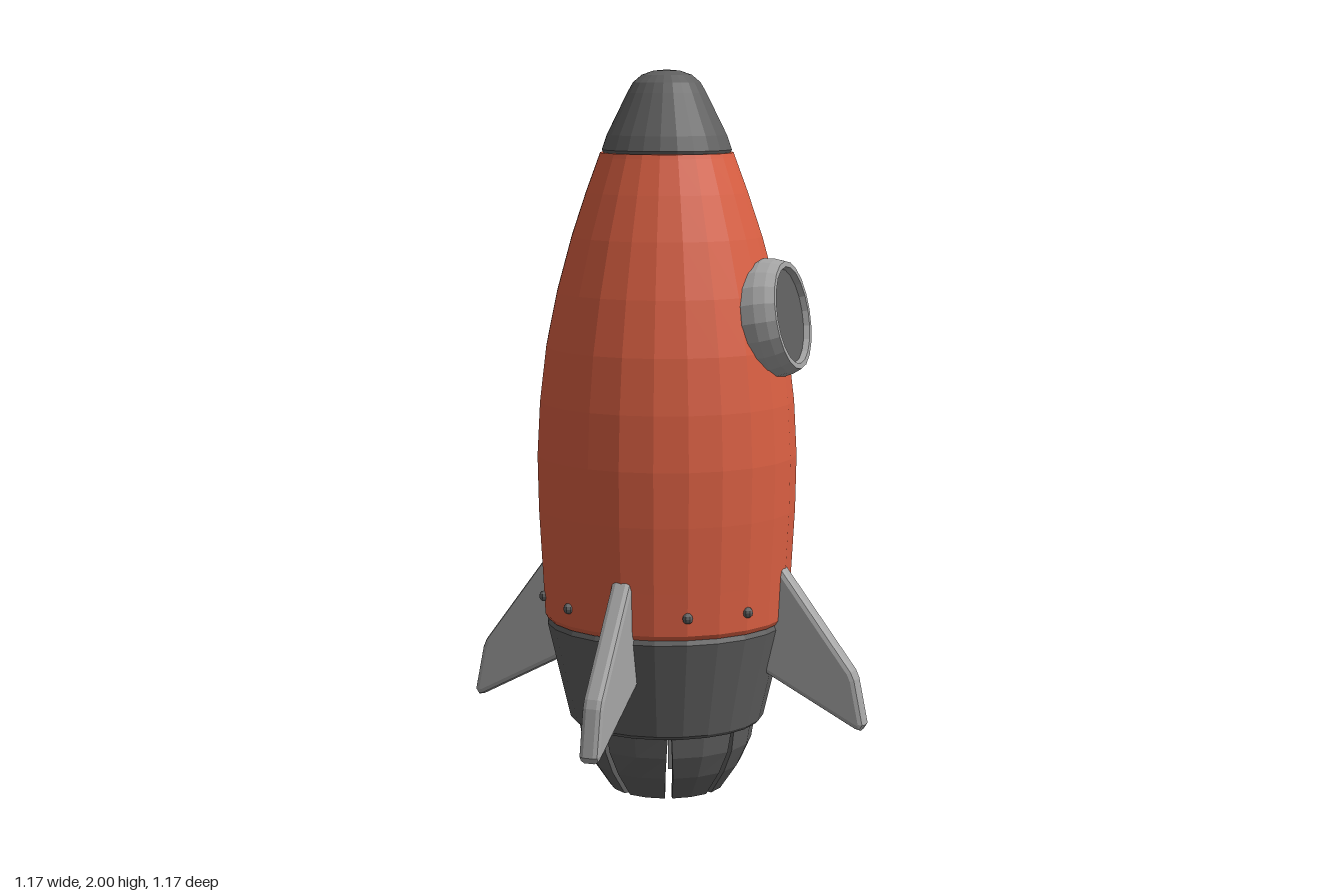
import * as THREE from 'three';

const material = (name, color) => {
  const m = new THREE.MeshStandardMaterial({ color, flatShading: true });
  m.name = name;
  return m;
};

export function createModel() {
  const red = material('hull red', 0xdb6043);
  const dark = material('dark grey', 0x606060);
  const light = material('light grey', 0xa6a6a6);

  const rocket = new THREE.Group();
  rocket.name = 'rocket';
  const add = (name, geometry, mat, parent = rocket) => {
    const mesh = new THREE.Mesh(geometry, mat);
    mesh.name = name;
    parent.add(mesh);
    return mesh;
  };
  const lathe = (profile, sides) =>
    new THREE.LatheGeometry(profile.map(([r, y]) => new THREE.Vector2(r, y)), sides);

  // Hull with small rolled lips at both ends
  add('hull', lathe([
    [0, 0.492], [0.333, 0.492], [0.341, 0.505], [0.347, 0.62], [0.357, 0.8], [0.36, 0.95],
    [0.352, 1.1], [0.334, 1.25], [0.303, 1.4], [0.262, 1.55], [0.222, 1.67],
    [0.187, 1.765], [0.183, 1.777], [0, 1.777],
  ], 24), red);

  // Rounded nose cone
  add('noseCone', lathe([
    [0, 1.772], [0.172, 1.772], [0.178, 1.785], [0.164, 1.825], [0.108, 1.938],
    [0.092, 1.966], [0.068, 1.986], [0.036, 1.997], [0, 2],
  ], 24), dark);

  // Tapered engine skirt
  add('engineSkirt', lathe([
    [0, 0.2], [0.262, 0.2], [0.272, 0.21], [0.335, 0.478], [0.328, 0.494], [0, 0.494],
  ], 24), dark);

  // Nozzle petals: boxes wrapped around the axis, with gaps widening downwards
  const nozzle = new THREE.Group();
  nozzle.name = 'nozzle';
  rocket.add(nozzle);
  const petalRadius = [0.16, 0.208, 0.238, 0.25];
  const petalHeight = [0.005, 0.075, 0.14, 0.21];
  for (let i = 0; i < 8; i++) {
    const petal = new THREE.BoxGeometry(1, 1, 1, 2, 3, 1);
    const p = petal.attributes.position;
    for (let v = 0; v < p.count; v++) {
      const row = Math.round((p.getY(v) + 0.5) * 3);
      const angle = p.getX(v) * (Math.PI / 4 - 0.13 + row * 0.03);
      const r = petalRadius[row] - (p.getZ(v) < 0 ? 0.03 : 0);
      p.setXYZ(v, r * Math.sin(angle), petalHeight[row], r * Math.cos(angle));
    }
    petal.computeVertexNormals();
    add('nozzlePetal', petal, dark, nozzle).rotation.y = i * Math.PI / 4;
  }

  // Four swept fins with bevelled edges
  const outline = [[0.285, 0.69], [0.32, 0.685], [0.548, 0.378], [0.558, 0.355],
    [0.583, 0.23], [0.572, 0.213], [0.555, 0.217], [0.265, 0.37]];
  const finShape = new THREE.Shape(outline.map(([x, y]) => new THREE.Vector2(x, y)));
  const finGeometry = new THREE.ExtrudeGeometry(finShape, {
    depth: 0.028, bevelEnabled: true, bevelThickness: 0.015, bevelSize: 0.015,
    bevelOffset: -0.015, bevelSegments: 2,
  }).translate(0, 0, -0.014);
  for (let i = 0; i < 4; i++) add('fin', finGeometry, light).rotation.y = i * Math.PI / 2;

  // Rivets, two between each pair of fins
  const rivetGeometry = new THREE.SphereGeometry(0.015, 8, 6);
  for (let i = 0; i < 12; i++) {
    if (i % 3 === 0) continue;
    const a = i * Math.PI / 6;
    add('rivet', rivetGeometry, dark).position.set(0.344 * Math.sin(a), 0.555, 0.344 * Math.cos(a));
  }

  // Porthole on the left side, tilted up with the hull
  const porthole = new THREE.Group();
  porthole.name = 'porthole';
  porthole.position.set(0.365, 1.345, 0);
  porthole.rotation.z = -Math.PI / 2 + 0.17;
  rocket.add(porthole);
  add('portholeRing', lathe([
    [0.155, -0.125], [0.162, -0.09], [0.163, -0.055], [0.157, -0.025], [0.147, 0],
    [0.132, 0], [0.126, -0.022],
  ], 20), light, porthole);
  add('portholeGlass', new THREE.CylinderGeometry(0.13, 0.13, 0.008, 20), dark, porthole)
    .position.y = -0.02;

  return rocket;
}
